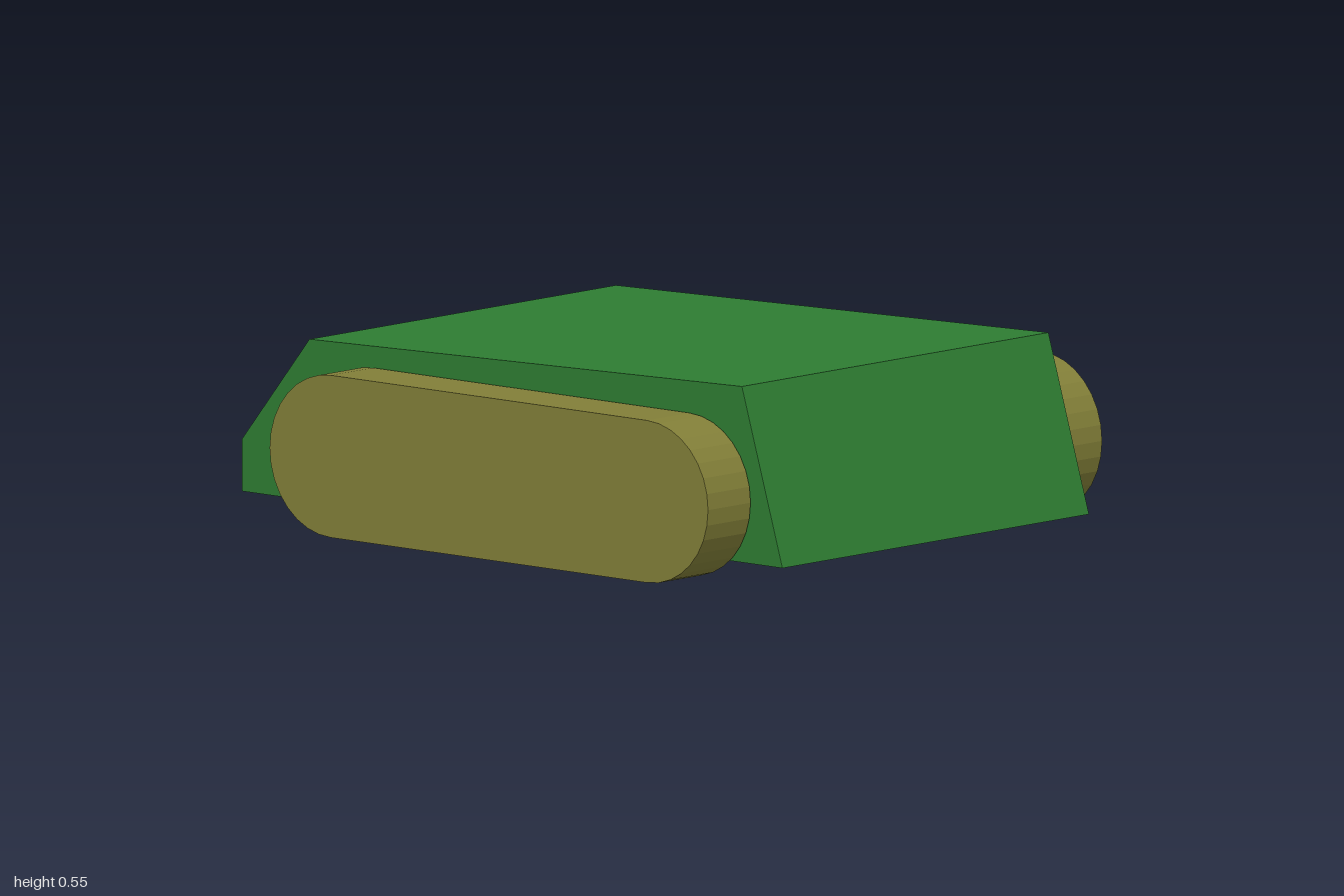
import * as THREE from 'three';

// Extrude a side profile drawn as (z, y) across x, centred on x = 0
function extrudeAcross(shape, width) {
  const geo = new THREE.ExtrudeGeometry(shape, { depth: width, bevelEnabled: false, curveSegments: 8 });
  geo.translate(0, 0, -width / 2);
  geo.rotateY(-Math.PI / 2);
  return geo;
}

export function createModel() {
  const model = new THREE.Group();
  const hullMat = new THREE.MeshStandardMaterial({ color: 0x2e7d32 });
  const trackMat = new THREE.MeshStandardMaterial({ color: 0x827f38 });

  // Hull: sloped nose, slightly falling deck, chamfered tail
  const profile = [[1, 0.055], [0.85, 0.545], [-0.75, 0.505], [-1, 0.2], [-1, 0.055]];
  const hullShape = new THREE.Shape(profile.map(([z, y]) => new THREE.Vector2(z, y)));
  const hull = new THREE.Mesh(extrudeAcross(hullShape, 1.26), hullMat);
  hull.name = 'hull';
  model.add(hull);

  // Tracks: stadium-shaped slabs along both sides
  const r = 0.226, front = 0.662, rear = -0.508;
  const trackShape = new THREE.Shape();
  trackShape.absarc(front, r, r, -Math.PI / 2, Math.PI / 2, false);
  trackShape.absarc(rear, r, r, Math.PI / 2, Math.PI * 1.5, false);
  trackShape.closePath();
  const trackGeo = extrudeAcross(trackShape, 0.175);
  for (const [name, x] of [['leftTrack', 0.721], ['rightTrack', -0.724]]) {
    const track = new THREE.Mesh(trackGeo, trackMat);
    track.name = name;
    track.position.x = x;
    model.add(track);
  }
  return model;
}
